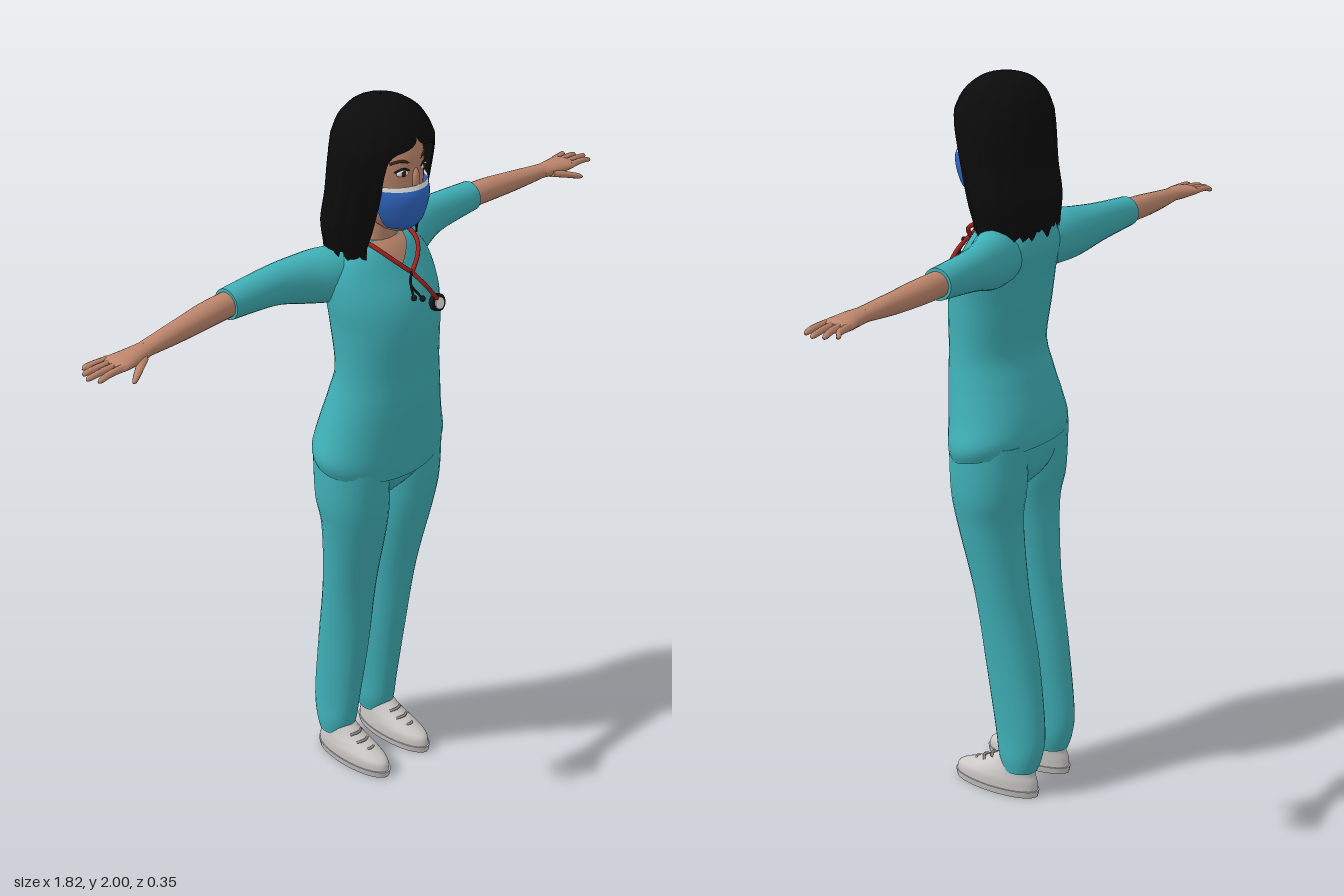
import * as THREE from 'three';

const mat = (name, color, side = THREE.FrontSide) => {
  const m = new THREE.MeshStandardMaterial({ color, side });
  m.name = name;
  return m;
};

// Catmull-Rom interpolation of a list of rings, t in ring units
function ringAt(rings, t) {
  const n = rings.length - 1, i = Math.min(Math.floor(t), n - 1), f = t - i;
  const [a, b, c, d] = [Math.max(i - 1, 0), i, i + 1, Math.min(i + 2, n)].map(k => rings[k]);
  return b.map((_, k) => 0.5 * (2 * b[k] + (c[k] - a[k]) * f
    + (2 * a[k] - 5 * b[k] + 4 * c[k] - d[k]) * f * f
    + (3 * b[k] - a[k] - 3 * c[k] + d[k]) * f * f * f));
}

// Loft through elliptical rings [along, centreU, centreZ, radiusU, radiusZ, tilt, angle0, angle1].
// axis 'y': u is x.  axis 'x': u is y.  side -1 mirrors in x.
function loft(rings, { axis = 'y', side = 1, seg = 28, sub = 5, open = false, cap = true, ripple = 0, rag = 0 } = {}) {
  const pos = [], idx = [], rows = (rings.length - 1) * sub, w = open ? seg + 1 : seg;
  const flip = (axis === 'x') !== (side < 0);
  const put = (p, u, z) => pos.push(...(axis === 'y' ? [side * u, p, z] : [side * p, u, z]));
  const tri = (a, b, c) => (flip ? idx.push(a, c, b) : idx.push(a, b, c));
  for (let j = 0; j <= rows; j++) {
    const [p, u, v, ru, rv, tilt = 0, a0 = 0, a1 = 2 * Math.PI] = ringAt(rings, j / sub);
    for (let i = 0; i < w; i++) {
      const a = a0 + (a1 - a0) * i / seg, k = 1 + ripple * Math.sin(a * 17);
      const noise = Math.abs(Math.sin((i + 1) * 12.9898) * 43758.5) % 1;
      const drop = j === 0 ? rag * noise : 0;
      put(p + tilt * rv * Math.cos(a) - drop, u + ru * k * Math.sin(a), v + rv * k * Math.cos(a));
    }
  }
  for (let j = 0; j < rows; j++) for (let i = 0; i < seg; i++) {
    const a = j * w + i, b = j * w + (i + 1) % w;
    tri(a, b, b + w);
    tri(a, b + w, a + w);
  }
  if (!open && cap) for (const [row, r] of [[0, rings[0]], [rows, rings.at(-1)]]) {
    const start = pos.length / 3;
    pos.push(...pos.slice(row * w * 3, (row + 1) * w * 3));
    put(r[0], r[1], r[2]);
    for (let i = 0; i < seg; i++) {
      const a = start + i, b = start + (i + 1) % seg;
      row ? tri(a, b, start + seg) : tri(b, a, start + seg);
    }
  }
  const g = new THREE.BufferGeometry();
  g.setAttribute('position', new THREE.Float32BufferAttribute(pos, 3));
  g.setIndex(idx);
  g.computeVertexNormals();
  return g;
}

const tube = (pts, r) => new THREE.TubeGeometry(
  new THREE.CatmullRomCurve3(pts.map(p => new THREE.Vector3(...p))), 32, r, 8);

export function createModel() {
  const cloth = mat('teal cloth', 0x3fb0b7), skin = mat('skin', 0xbd866c);
  const neckSkin = skin.clone();
  neckSkin.side = THREE.DoubleSide;
  const hairMat = mat('black hair', 0x0b0b0b, THREE.DoubleSide);
  const blue = mat('mask blue', 0x2f68c4, THREE.DoubleSide);
  const white = mat('white', 0xeeeeee, THREE.DoubleSide), shoeMat = mat('shoe grey', 0xcbc8c5);
  const red = mat('tube red', 0xa3221f), black = mat('black rubber', 0x161616);
  const brown = mat('eye brown', 0x3a2418), lace = mat('lace grey', 0x8d8a88);

  const model = new THREE.Group();
  const add = (name, geo, material, parent = model) => {
    const m = new THREE.Mesh(geo, material);
    m.name = name;
    parent.add(m);
    return m;
  };
  const ball = (name, material, [x, y, z], [a, b, c], parent) => {
    const m = add(name, new THREE.SphereGeometry(1, 16, 12), material, parent);
    m.position.set(x, y, z);
    m.scale.set(a, b, c);
    return m;
  };

  // Tunic with a slanted hem
  const tunic = [
    [1.0, 0, -0.01, 0.203, 0.128, -0.22], [1.04, 0, -0.008, 0.213, 0.131, -0.2],
    [1.11, 0, 0, 0.19, 0.132, -0.1], [1.2, 0, 0.015, 0.167, 0.126, 0],
    [1.28, 0, 0.025, 0.156, 0.116, 0], [1.4, 0, 0.018, 0.16, 0.126, 0],
    [1.48, 0, 0.005, 0.168, 0.12, 0], [1.55, 0, -0.02, 0.165, 0.105, 0],
    [1.6, 0, -0.03, 0.13, 0.085, 0], [1.625, 0, -0.035, 0.085, 0.065, 0]];
  add('tunic', loft(tunic, { seg: 40, sub: 6 }), cloth);

  // V neckline laid over the tunic, and the neck
  const vNeck = [];
  for (let k = 0; k <= 8; k++) {
    const r = ringAt(tunic, 7.3 + 1.7 * k / 8), h = 0.01 + 0.7 * k / 8;
    vNeck.push([r[0], 0, r[2], r[3] + 0.004, r[4] + 0.004, 0, -h, h]);
  }
  add('neckline', loft(vNeck, { open: true, sub: 1, seg: 10 }), neckSkin);
  add('neck', loft([[1.58, 0, -0.025, 0.075, 0.06], [1.63, 0, -0.02, 0.055, 0.055],
    [1.68, 0, -0.01, 0.046, 0.05], [1.76, 0, -0.01, 0.046, 0.05]]), skin);

  // Hips and trouser legs
  add('hips', loft([[0.885, 0, -0.01, 0.03, 0.05], [0.94, 0, -0.01, 0.14, 0.098],
    [1.0, 0, -0.01, 0.19, 0.112], [1.08, 0, -0.01, 0.175, 0.11]]), cloth);
  for (const s of [1, -1]) {
    const leg = new THREE.Group();
    leg.name = s > 0 ? 'leftLeg' : 'rightLeg';
    model.add(leg);
    add('trouserLeg', loft([
      [0.075, 0.08, -0.1, 0.044, 0.05], [0.12, 0.078, -0.1, 0.05, 0.065],
      [0.2, 0.076, -0.097, 0.05, 0.076], [0.4, 0.075, -0.07, 0.06, 0.08],
      [0.6, 0.081, -0.04, 0.072, 0.076], [0.8, 0.091, -0.01, 0.089, 0.09],
      [0.9, 0.098, -0.01, 0.098, 0.104], [1.04, 0.1, -0.01, 0.095, 0.11]], { side: s }), cloth, leg);
    add('shoe', loft([
      [0.018, 0.082, -0.025, 0.048, 0.132], [0.045, 0.082, -0.028, 0.048, 0.126],
      [0.065, 0.081, -0.048, 0.044, 0.1], [0.085, 0.08, -0.073, 0.039, 0.075],
      [0.11, 0.08, -0.09, 0.034, 0.054]], { side: s }), shoeMat, leg);
    add('sole', loft([[0, 0.082, -0.025, 0.047, 0.132], [0.02, 0.082, -0.025, 0.051, 0.136]],
      { side: s, sub: 1 }), shoeMat, leg);
    for (let i = 0; i < 3; i++) {
      const y = 0.062 + i * 0.014, z = 0.043 - i * 0.026;
      add('shoelace', tube([[s * 0.06, y, z - 0.012], [s * 0.081, y + 0.007, z], [s * 0.102, y, z - 0.012]], 0.004), lace, leg);
    }
  }

  // Sleeves, forearms and hands, the left one held slightly higher
  for (const s of [1, -1]) {
    const arm = new THREE.Group();
    arm.name = s > 0 ? 'leftArm' : 'rightArm';
    model.add(arm);
    const limb = (name, rings, material, seg = 20) => add(name,
      loft(rings.map(([x, y, ...r]) => [x, y + 0.02 * s * x, ...r]), { axis: 'x', side: s, seg }), material, arm);
    limb('sleeve', [[0.08, 1.54, -0.035, 0.07, 0.07], [0.15, 1.545, -0.055, 0.074, 0.067],
      [0.21, 1.548, -0.075, 0.067, 0.056], [0.3, 1.555, -0.092, 0.053, 0.046],
      [0.447, 1.556, -0.096, 0.041, 0.041]], cloth, 24);
    limb('forearm', [[0.43, 1.556, -0.096, 0.033, 0.034], [0.52, 1.553, -0.094, 0.032, 0.034],
      [0.62, 1.548, -0.088, 0.027, 0.029], [0.73, 1.545, -0.08, 0.018, 0.025]], skin);
    limb('palm', [[0.72, 1.545, -0.08, 0.018, 0.025], [0.77, 1.543, -0.077, 0.019, 0.033],
      [0.815, 1.542, -0.078, 0.015, 0.041], [0.835, 1.541, -0.078, 0.009, 0.037]], skin);
    for (const [z0, z1, tip] of [[-0.108, -0.124, 0.882], [-0.089, -0.1, 0.9], [-0.069, -0.074, 0.91], [-0.049, -0.046, 0.898]])
      limb('finger', [[0.815, 1.543, z0, 0.01, 0.01], [0.86, 1.543, (z0 + z1) / 2, 0.0085, 0.0085],
        [tip - 0.008, 1.538, z1, 0.007, 0.007], [tip, 1.536, z1, 0.002, 0.002]], skin, 8);
    limb('thumb', [[0.745, 1.538, -0.062, 0.012, 0.018], [0.78, 1.53, -0.037, 0.01, 0.014],
      [0.812, 1.521, -0.016, 0.008, 0.009], [0.824, 1.518, -0.01, 0.002, 0.002]], skin, 8);
  }

  // Head and face
  add('head', loft([[1.66, 0, 0.045, 0.025, 0.04], [1.69, 0, 0.03, 0.055, 0.078],
    [1.74, 0, 0.015, 0.077, 0.105], [1.82, 0, 0.01, 0.09, 0.112], [1.88, 0, 0.005, 0.088, 0.112],
    [1.93, 0, 0, 0.07, 0.088], [1.96, 0, 0, 0.03, 0.04]]), skin);
  ball('nose', skin, [0, 1.808, 0.118], [0.012, 0.032, 0.014]);
  for (const s of [1, -1]) {
    ball('eye', white, [s * 0.037, 1.831, 0.111], [0.017, 0.009, 0.006]).rotation.y = s * 0.3;
    ball('iris', brown, [s * 0.036, 1.831, 0.116], [0.008, 0.008, 0.003]);
    add('eyelid', tube([[s * 0.019, 1.836, 0.117], [s * 0.037, 1.843, 0.114], [s * 0.056, 1.835, 0.102]], 0.0028), black);
    add('eyebrow', tube([[s * 0.016, 1.855, 0.116], [s * 0.04, 1.863, 0.109], [s * 0.062, 1.856, 0.091]], 0.0035), brown);
  }

  // Face mask with a white top edge
  const arc = h => [0, -h, h];
  add('faceMask', loft([[1.672, 0, 0.035, 0.042, 0.07, ...arc(1.2)], [1.695, 0, 0.03, 0.066, 0.098, ...arc(1.2)],
    [1.74, 0, 0.028, 0.084, 0.114, ...arc(1.25)], [1.77, 0, 0.027, 0.088, 0.117, ...arc(1.25)],
    [1.788, 0, 0.023, 0.09, 0.114, ...arc(1.25)]], { open: true }), blue);
  add('maskEdge', loft([[1.786, 0, 0.023, 0.091, 0.115, ...arc(1.25)], [1.798, 0, 0.021, 0.092, 0.112, ...arc(1.25)]],
    { open: true, sub: 1 }), white);

  // Long hair, open around the face and ragged at the ends
  const part = f => [0, f, 2 * Math.PI - f];
  add('hair', loft([[1.615, 0, -0.035, 0.14, 0.095, ...part(0.7)], [1.68, 0, -0.028, 0.153, 0.105, ...part(0.6)],
    [1.76, 0, -0.012, 0.149, 0.111, ...part(0.6)], [1.84, 0, 0, 0.145, 0.12, ...part(0.62)],
    [1.88, 0, 0.005, 0.14, 0.123, ...part(0.53)], [1.905, 0, 0.006, 0.132, 0.122, ...part(0.05)],
    [1.95, 0, 0.003, 0.108, 0.102, ...part(0)], [1.985, 0, 0, 0.062, 0.062, ...part(0)],
    [2.0, 0, 0, 0.003, 0.003, ...part(0)]], { open: true, seg: 72, ripple: 0.012, rag: 0.03 }), hairMat);

  // Stethoscope around the neck
  const scope = new THREE.Group();
  scope.name = 'stethoscope';
  model.add(scope);
  add('neckTube', tube([[0, 1.552, 0.112], [-0.03, 1.58, 0.092], [-0.065, 1.62, 0.045], [-0.07, 1.64, -0.03],
    [0, 1.645, -0.085], [0.075, 1.64, -0.03], [0.08, 1.61, 0.045], [0.05, 1.585, 0.085], [0, 1.552, 0.112]], 0.006), red, scope);
  add('chestTube', tube([[0, 1.552, 0.112], [0.025, 1.515, 0.136], [0.058, 1.47, 0.146]], 0.006), red, scope);
  for (const [x, y, z] of [[-0.055, 1.518, 0.17], [-0.01, 1.497, 0.158]]) {
    add('earTube', tube([[-0.005, 1.556, 0.114], [-0.035, 1.54, 0.14], [x, y, z]], 0.003), black, scope);
    ball('earTip', black, [x, y, z], [0.008, 0.008, 0.008], scope);
  }
  const disc = (name, r, h, material, z) => {
    const m = add(name, new THREE.CylinderGeometry(r, r, h, 24), material, scope);
    m.position.set(0.063, 1.457, z);
    m.rotation.x = Math.PI / 2 - 0.25;
  };
  disc('chestPiece', 0.023, 0.014, black, 0.142);
  disc('chestPieceFace', 0.016, 0.006, white, 0.149);
  return model;
}
